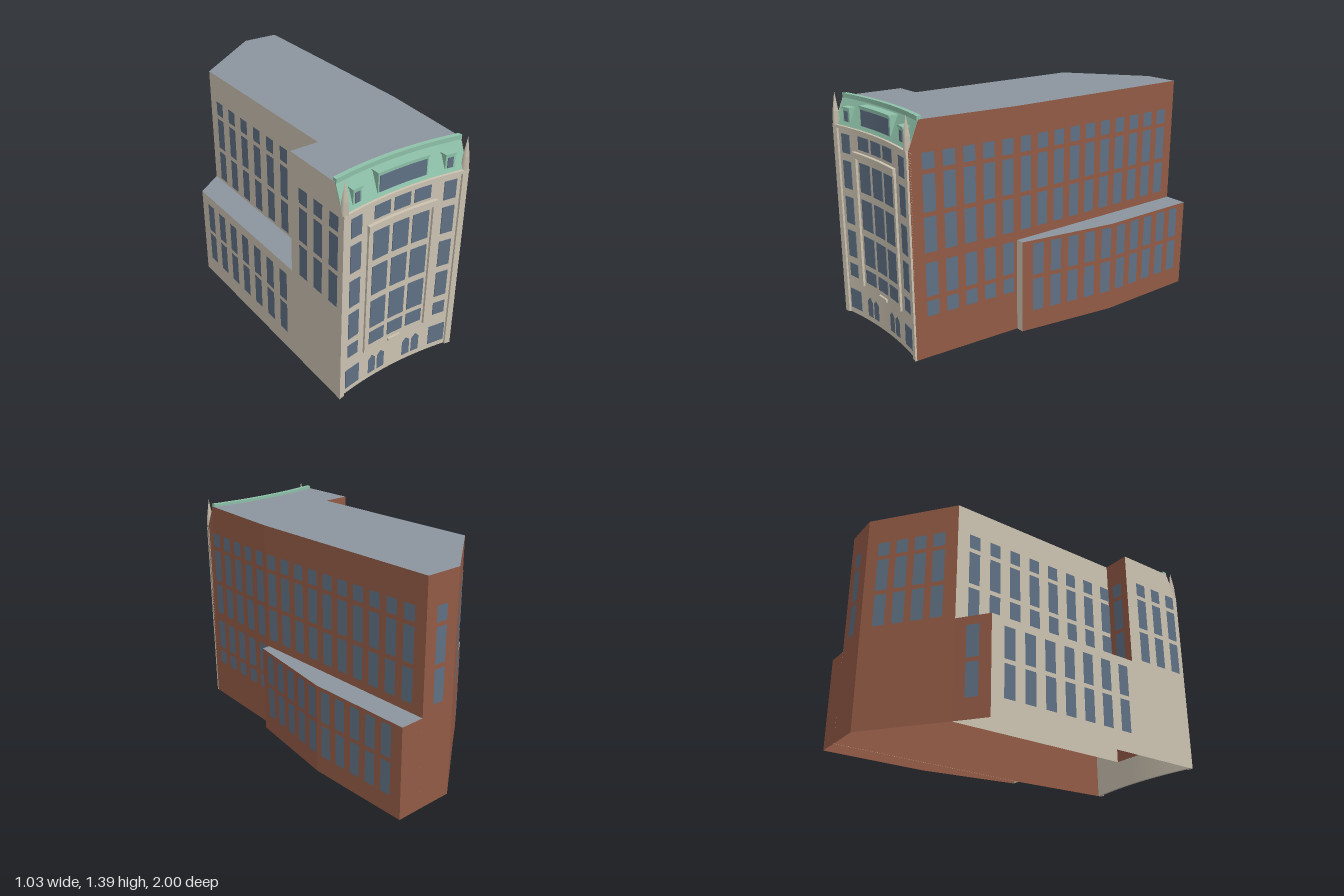
import * as THREE from 'three';

const mat = (name, color) => {
  const m = new THREE.MeshStandardMaterial({ color, side: THREE.DoubleSide });
  m.name = name;
  return m;
};

export function createModel() {
  const stone = mat('stone', 0xcbc2b1);
  const brick = mat('brick', 0x925a45);
  const glass = mat('glass', 0x5f7083);
  const copper = mat('copper green', 0x8dc0a8);
  const slate = mat('flat roof grey', 0x8b959d);

  const model = new THREE.Group();
  model.name = 'cornerBuilding';
  const add = (name, geo, material, parent = model) => {
    const m = new THREE.Mesh(geo, material);
    m.name = name;
    parent.add(m);
    return m;
  };

  // Convex polygon as a triangle fan
  const poly = (pts) => {
    const v = [];
    for (let i = 1; i < pts.length - 1; i++) v.push(...pts[0], ...pts[i], ...pts[i + 1]);
    const g = new THREE.BufferGeometry();
    g.setAttribute('position', new THREE.Float32BufferAttribute(v, 3));
    g.computeVertexNormals();
    return g;
  };

  // Upright wall between plan points p and q, left to right as seen from outside
  const wall = (name, p, q, y0, y1, material) =>
    add(name, poly([[p[0], y0, p[1]], [q[0], y0, q[1]], [q[0], y1, q[1]], [p[0], y1, p[1]]]), material);

  // Window panes on a wall: ts are centres as fractions from p to q
  const windows = (name, p, q, ts, rows, width = 0.075) => {
    const group = new THREE.Group();
    group.name = name;
    model.add(group);
    const dx = q[0] - p[0], dz = q[1] - p[1], len = Math.hypot(dx, dz);
    for (const t of ts) for (const [y0, y1] of rows) {
      const pane = add('windowPane', new THREE.PlaneGeometry(width, y1 - y0), glass, group);
      pane.position.set(p[0] + dx * t - dz / len * 0.004, (y0 + y1) / 2, p[1] + dz * t + dx / len * 0.004);
      pane.rotation.y = Math.atan2(-dz, dx);
    }
  };
  const series = (first, step, n) => Array.from({ length: n }, (_, i) => first + step * i);
  const atZ = (p, q, zs) => zs.map((z) => (z - p[1]) / (q[1] - p[1]));

  // Flat roof from plan points
  const roof = (name, pts, y) => {
    const g = new THREE.ShapeGeometry(new THREE.Shape(pts.map(([x, z]) => new THREE.Vector2(x, -z))));
    add(name, g.rotateX(-Math.PI / 2).translate(0, y, 0), slate);
  };

  // Concave street front; the attic leans back above the cornice
  const frontZ = (x) => 0.945 + 0.04 * ((x + 0.1) / 0.415) ** 2;
  const lean = (y) => Math.max(0, y - 1.2) * 0.42;
  const bend = (g, leaning) => {
    const p = g.attributes.position;
    for (let i = 0; i < p.count; i++)
      p.setZ(i, p.getZ(i) + frontZ(p.getX(i)) - (leaning ? lean(p.getY(i)) : 0));
    g.computeVertexNormals();
    return g;
  };
  const frontBox = (name, x0, x1, y0, y1, d0, d1, material, leaning = false) => {
    const g = new THREE.BoxGeometry(x1 - x0, y1 - y0, d1 - d0, Math.ceil((x1 - x0) / 0.04), 1, 1);
    g.translate((x0 + x1) / 2, (y0 + y1) / 2, (d0 + d1) / 2);
    return add(name, bend(g, leaning), material);
  };

  // Plan points
  const H = 1.36, LR = 0.57, LL = 0.605;
  const FR = [0.315, 0.985], R1 = [0.36, 0.31], R2 = [0.36, -0.99], B = [0.13, -1];
  const L1 = [-0.34, -0.655], L2 = [-0.34, 0.53], L3 = [-0.515, 0.53], FL = [-0.515, 0.985];
  const W1 = [0.41, 0.31], W2 = [0.51, -0.315], W3 = [0.51, -0.985], D = [-0.515, -0.53];
  const upper = [[1.094, 1.185], [0.858, 1.067], [0.627, 0.83]];
  const lower = [[0.37, 0.568], [0.252, 0.343]];
  const wing = [[0.354, 0.55], [0.123, 0.327]];

  // Tower walls; the two front side walls are cut back along the attic slope
  const sideWall = (name, f, b, material) => add(name, poly([
    [f[0], 0, f[1]], [b[0], 0, b[1]], [b[0], H, b[1]], [f[0], H, f[1] - lean(H)], [f[0], 1.2, f[1]],
  ]), material);
  sideWall('rightFrontWall', FR, R1, brick);
  sideWall('leftFrontWall', FL, L3, stone);
  wall('rightWall', R1, R2, 0, H, brick);
  wall('backWall', R2, B, 0, H, brick);
  wall('backDiagonalWall', B, L1, 0, H, brick);
  wall('leftWall', L1, L2, 0, H, stone);
  wall('recessWall', L2, L3, 0, H, brick);
  roof('towerRoof', [R1, R2, B, L1, L2, L3,
    ...series(-0.515, 0.083, 11).map((x) => [x, frontZ(x) - lean(H)])], H);

  windows('rightFrontWindows', FR, R1, atZ(FR, R1, series(0.874, -0.125, 5)), [...upper, ...lower]);
  windows('rightWindows', R1, R2, atZ(R1, R2, series(0.249, -0.125, 10)), upper);
  windows('backWindows', R2, B, [0.48], upper);
  windows('backDiagonalWindows', B, L1, series(0.195, 0.203, 4), upper);
  windows('leftWindows', L1, L2, atZ(L1, L2, series(-0.537, 0.147, 8)), upper);
  windows('recessWindow', L2, L3, [0.5], upper);
  windows('leftFrontWindows', L3, FL, atZ(L3, FL, series(0.65, 0.135, 3)), upper);

  // Low right wing
  wall('rightWingFront', R1, W1, 0, LR, stone);
  wall('rightWingWall', W1, W2, 0, LR, brick);
  wall('rightWingRearWall', W2, W3, 0, LR, brick);
  wall('rightWingBack', W3, R2, 0, LR, brick);
  wall('rightWingInnerWall', [0.362, 0.31], [0.362, -0.99], 0, LR, stone);
  roof('rightWingRoof', [R1, W1, W2, W3, R2], LR);
  windows('rightWingWindows', W1, W2, atZ(W1, W2, series(0.206, -0.12, 5)), wing, 0.072);
  windows('rightWingRearWindows', W2, W3, atZ(W2, W3, series(-0.394, -0.12, 5)), wing, 0.072);

  // Low left wing
  wall('leftWingBack', L1, D, 0, LL, brick);
  wall('leftWingWall', D, L3, 0, LL, stone);
  roof('leftWingRoof', [L1, D, L3, L2], LL);
  windows('leftWingBackWindow', L1, D, [0.5], wing);
  windows('leftWingWindows', D, L3, atZ(D, L3, series(-0.41, 0.142, 7)), wing);

  // Stone front with corner strips, cornice and central frame
  frontBox('frontWall', -0.515, 0.315, 0, 1.2, -0.015, 0, stone);
  frontBox('cornerStrip', -0.515, -0.48, 0, 1.2, 0, 0.012, stone);
  frontBox('cornerStrip', 0.28, 0.315, 0, 1.2, 0, 0.012, stone);
  frontBox('cornice', -0.515, 0.315, 1.185, 1.203, -0.02, 0.014, stone);
  frontBox('frameStrip', -0.332, -0.31, 0.225, 1.03, 0, 0.014, stone);
  frontBox('frameStrip', 0.107, 0.13, 0.225, 1.03, 0, 0.014, stone);
  frontBox('frameLintel', -0.334, 0.13, 1.03, 1.066, 0, 0.02, stone);
  frontBox('entranceLedge', -0.144, -0.058, 0.207, 0.225, 0, 0.012, stone);

  // Front windows
  const frontPanes = (cols, rows) => {
    for (const [x0, x1] of cols) for (const [y0, y1] of rows)
      frontBox('frontWindow', x0, x1, y0, y1, 0, 0.004, glass);
  };
  frontPanes([[-0.288, -0.18], [-0.152, -0.044], [-0.018, 0.09]],
    [[1.085, 1.164], [0.83, 1.007], [0.6, 0.786], [0.373, 0.557], [0.255, 0.34]]);
  frontPanes([[-0.452, -0.376], [0.177, 0.254]],
    [[1.04, 1.155], [0.823, 0.993], [0.602, 0.771], [0.387, 0.557], [0.255, 0.34]]);
  frontPanes([[-0.465, -0.36], [0.162, 0.27]], [[0.037, 0.166]]);

  // Pointed ground-floor openings
  for (const x of [-0.261, -0.194, -0.005, 0.062]) {
    const s = new THREE.Shape([[-0.027, 0.037], [0.027, 0.037], [0.027, 0.138], [0, 0.165], [-0.027, 0.138]]
      .map(([a, b]) => new THREE.Vector2(a, b)));
    add('pointedWindow', bend(new THREE.ShapeGeometry(s).translate(x, 0, 0.004)), glass);
  }

  // Copper attic with rail and dormers
  frontBox('attic', -0.511, 0.312, 1.2, H, -0.015, 0, copper, true);
  frontBox('atticRail', -0.511, 0.312, 1.352, 1.378, -0.088, -0.06, copper);
  const dormer = (x0, x1, y0, y1, inset, head) => {
    frontBox('dormer', x0, x1, y0, y1, -0.07, -0.008, copper);
    frontBox('dormerCap', x0 - 0.004, x1 + 0.004, y1 - 0.008, y1 + 0.002, -0.07, -0.003, copper);
    frontBox('dormerWindow', x0 + inset, x1 - inset, y0 + 0.004, y1 - head, -0.008, -0.004, glass);
  };
  dormer(-0.266, 0.066, 1.225, 1.341, 0.011, 0.019);
  dormer(-0.436, -0.376, 1.227, 1.312, 0.013, 0.021);
  dormer(0.177, 0.237, 1.227, 1.312, 0.013, 0.021);

  // Corner pinnacles
  for (const x of [-0.499, 0.299]) {
    const pinnacle = new THREE.Group();
    pinnacle.name = 'pinnacle';
    pinnacle.position.set(x, 1.2, 0.98);
    model.add(pinnacle);
    add('pinnacleBase', new THREE.CylinderGeometry(0.018, 0.022, 0.08, 4).rotateY(Math.PI / 4)
      .translate(0, 0.04, 0).toNonIndexed(), stone, pinnacle);
    add('pinnacleSpire', new THREE.ConeGeometry(0.018, 0.115, 4).rotateY(Math.PI / 4)
      .translate(0, 0.1375, 0).toNonIndexed(), stone, pinnacle);
  }
  return model;
}
